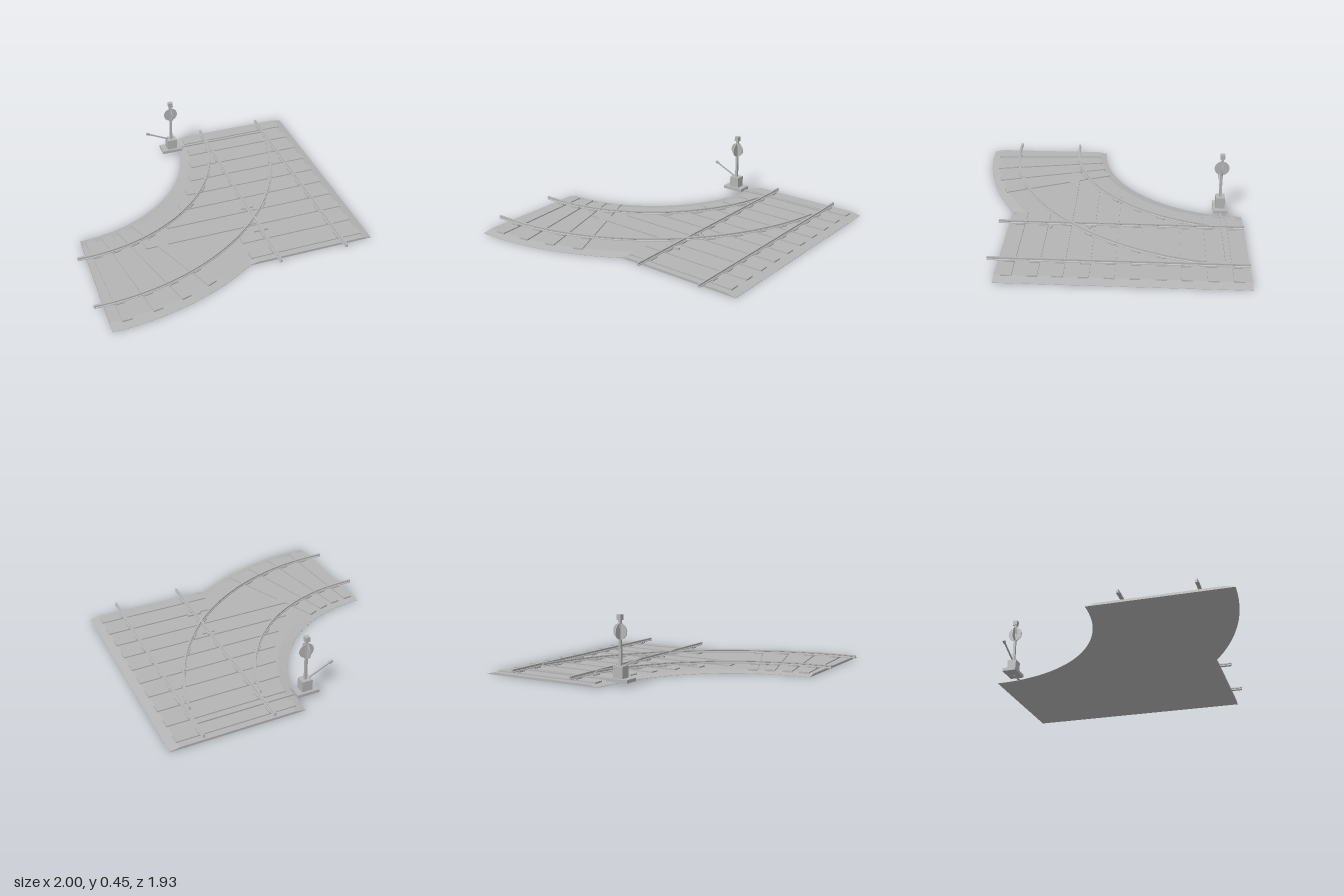
import * as THREE from 'three';

const CX = -0.94, CZ = -0.97;          // centre of the curved track
const R_IN = 1.235, R_OUT = 1.715;     // curved rails
const X_L = 0.29, X_R = 0.775;         // straight rails
const TIE_TOP = 0.024, RAIL_Y = 0.031;

// Sweep a counter-clockwise [u, y] profile along stations, sharp across and smooth along
function sweep(profile, stations) {
  const pos = [], idx = [], n = profile.length, m = stations.length;
  const put = (s, [u, y]) => pos.push(s.x + u * s.dx, y, s.z + u * s.dz);
  for (let i = 0; i < n; i++) {
    const base = pos.length / 3;
    for (const s of stations) { put(s, profile[i]); put(s, profile[(i + 1) % n]); }
    for (let k = 0; k < m - 1; k++) {
      const a = base + 2 * k;
      idx.push(a, a + 2, a + 1, a + 1, a + 2, a + 3);
    }
  }
  // end caps
  const tris = THREE.ShapeUtils.triangulateShape(profile.map(p => new THREE.Vector2(...p)), []);
  [stations[0], stations[m - 1]].forEach((s, end) => {
    const base = pos.length / 3;
    profile.forEach(p => put(s, p));
    for (const [a, b, c] of tris) idx.push(base + a, base + (end ? c : b), base + (end ? b : c));
  });
  const g = new THREE.BufferGeometry();
  g.setAttribute('position', new THREE.Float32BufferAttribute(pos, 3));
  g.setIndex(idx);
  g.computeVertexNormals();
  return g;
}

const straight = (z0, z1) => [z0, z1].map(z => ({ x: 0, z, dx: 1, dz: 0 }));

function curve(a0, a1, steps, lead = 0) {
  const out = lead ? [{ x: CX - lead, z: CZ, dx: 0, dz: 1 }] : [];
  for (let i = 0; i <= steps; i++) {
    const a = a0 + (a1 - a0) * i / steps;
    out.push({ x: CX, z: CZ, dx: Math.sin(a), dz: Math.cos(a) });
  }
  return out;
}

const bed = (u0, u1, h) => [[u0, 0], [u1, 0], [u1, 0.002], [u1 - 0.07, h], [u0 + 0.07, h], [u0, 0.002]];

// Rail section: foot, web and head
const rail = u => [[-0.01, 0], [0.01, 0], [0.01, 0.004], [0.004, 0.007], [0.004, 0.012], [0.007, 0.014], [0.007, 0.021],
  [-0.007, 0.021], [-0.007, 0.014], [-0.004, 0.012], [-0.004, 0.007], [-0.01, 0.004]].map(([a, y]) => [u + a, RAIL_Y + y]);

export function createModel() {
  const model = new THREE.Group();
  model.name = 'railwaySwitch';
  const grey = new THREE.MeshStandardMaterial({ color: 0xb4b4b4 });
  grey.name = 'grey';
  const deg = Math.PI / 180;

  const add = (name, geo, parent = model) => {
    const mesh = new THREE.Mesh(geo, grey);
    mesh.name = name;
    parent.add(mesh);
    return mesh;
  };
  const box = (name, w, h, d, x, y, z, ry = 0, parent = model) => {
    const mesh = add(name, new THREE.BoxGeometry(w, h, d), parent);
    mesh.position.set(x, y, z);
    mesh.rotation.y = ry;
    return mesh;
  };

  // Ballast beds
  add('straightBallast', sweep(bed(0.08, 1, 0.016), straight(0.66, -0.97)));
  add('curvedBallast', sweep(bed(1.01, 1.93, 0.0155), curve(0.003, Math.PI / 2, 48)));

  // Ties and the plates under the rails
  const ties = new THREE.Group();
  ties.name = 'ties';
  model.add(ties);
  const plate = (x, z, ry) => box('tiePlate', 0.034, RAIL_Y - TIE_TOP + 0.002, 0.06, x, (RAIL_Y + TIE_TOP) / 2, z, ry, ties);
  const tieLeft = [0.12, 0.11, 0.07, 0.01, -0.07, -0.175, -0.325, -0.53, 0.12, 0.12];
  tieLeft.forEach((left, i) => {
    const z = -0.89 + 0.1635 * i;
    box('straightTie', 0.94 - left, 0.02, 0.07, (left + 0.94) / 2, TIE_TOP - 0.01, z, 0, ties);
    plate(X_L, z, 0);
    plate(X_R, z, 0);
    for (const r of [R_IN, R_OUT]) {
      const c = (z - CZ) / r;
      if (c < 0.17 || c > 1) continue;
      const a = Math.acos(c), x = CX + r * Math.sin(a);
      if (x > left + 0.02) plate(x, z, a - Math.PI / 2);
    }
  });
  for (let i = 0; i < 4; i++) {
    const a = (3.6 + 6.4 * i) * deg, ry = a - Math.PI / 2;
    const at = r => [CX + r * Math.sin(a), CZ + r * Math.cos(a)];
    const [x, z] = at(1.468);
    box('curvedTie', 0.82, 0.02, 0.068, x, TIE_TOP - 0.0105, z, ry, ties);
    for (const r of [R_IN, R_OUT]) plate(...at(r), ry);
  }

  // Rails
  for (const x of [X_L, X_R]) add('straightRail', sweep(rail(x), straight(0.73, -0.97)));
  add('innerCurvedRail', sweep(rail(R_IN), curve(0, 78.3 * deg, 40, 0.06)));
  add('outerCurvedRail', sweep(rail(R_OUT), curve(0, 80.3 * deg, 48, 0.06)));

  // Frog cross plates
  box('frogPlate', 0.09, 0.012, 0.02, X_L, 0.028, 0.092);
  box('frogPlate', 0.1, 0.012, 0.02, X_L, 0.028, 0.36);

  // Throw rod under the point rails
  box('throwRod', 0.76, 0.01, 0.012, 0.4, 0.028, -0.82);

  // Switch stand
  const stand = new THREE.Group();
  stand.name = 'switchStand';
  stand.position.set(-0.003, 0, -0.82);
  model.add(stand);
  box('standBase', 0.16, 0.022, 0.1, -0.002, 0.037, 0, 0, stand);
  box('standHousing', 0.075, 0.08, 0.065, 0, 0.087, 0, 0, stand);
  box('mast', 0.017, 0.3, 0.017, 0, 0.27, 0, 0, stand);
  box('lamp', 0.032, 0.035, 0.032, 0, 0.437, 0, 0, stand);

  // Two crossed round targets
  for (const ry of [0, Math.PI / 2]) {
    const disc = add('target', new THREE.CylinderGeometry(0.052, 0.052, 0.005, 28).rotateX(Math.PI / 2), stand);
    disc.position.y = 0.347;
    disc.rotation.y = ry;
  }

  // Throw lever with its grip
  const lever = new THREE.Group();
  lever.name = 'lever';
  lever.position.set(-0.03, 0.132, 0);
  lever.rotation.z = -25 * deg;
  stand.add(lever);
  box('leverArm', 0.18, 0.009, 0.009, -0.085, 0, 0, 0, lever);
  box('leverGrip', 0.025, 0.015, 0.015, -0.173, 0, 0, 0, lever);

  return model;
}
